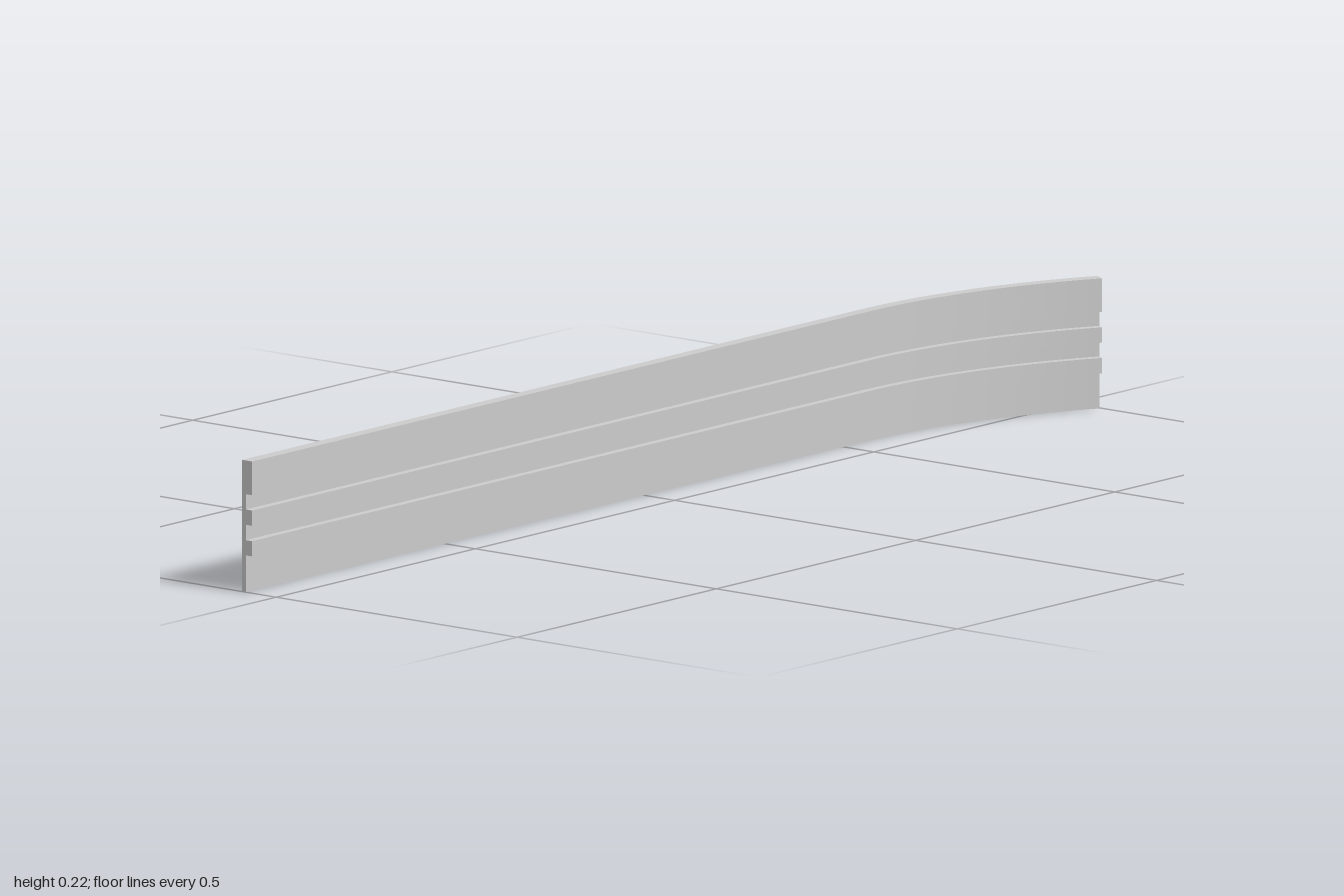
import * as THREE from 'three';
import { toCreasedNormals } from 'three/addons/utils/BufferGeometryUtils.js';

const BACK_X = -0.071;   // rear face of the straight run
const BEND_START = 0.55; // distance behind centre where the bend begins
const RADIUS = 0.892;    // bend radius of the rear face
const ANGLE = THREE.MathUtils.degToRad(30.3);
const HEIGHT = 0.215;

// Curved board between two depths from the rear face and two heights
function board(name, d0, d1, y0, y1, material) {
  const cx = BACK_X + RADIUS;
  const plan = new THREE.Shape();
  plan.moveTo(BACK_X + d0, -1);
  plan.lineTo(BACK_X + d0, BEND_START);
  plan.absarc(cx, BEND_START, RADIUS - d0, Math.PI, Math.PI - ANGLE, true);
  plan.absarc(cx, BEND_START, RADIUS - d1, Math.PI - ANGLE, Math.PI, false);
  plan.lineTo(BACK_X + d1, -1);
  plan.closePath();

  const extruded = new THREE.ExtrudeGeometry(plan, {
    depth: y1 - y0, bevelEnabled: false, curveSegments: 32,
  });
  extruded.rotateX(-Math.PI / 2);
  extruded.translate(0, y0, 0);
  const mesh = new THREE.Mesh(toCreasedNormals(extruded, 0.5), material);
  mesh.name = name;
  return mesh;
}

export function createModel() {
  const group = new THREE.Group();
  group.name = 'curvedSlattedPanel';
  const grey = new THREE.MeshStandardMaterial({ color: 0xcccccc });

  // Thin full-height backing
  group.add(board('backing', 0, 0.008, 0, HEIGHT, grey));

  // Raised slats, leaving two grooves and a recessed foot
  const slats = [
    ['lowerSlat', 0.06, 0.085],
    ['middleSlat', 0.11, 0.135],
    ['topSlat', 0.16, HEIGHT],
  ];
  for (const [name, y0, y1] of slats) {
    group.add(board(name, 0.008, 0.021, y0, y1, grey));
  }
  return group;
}
